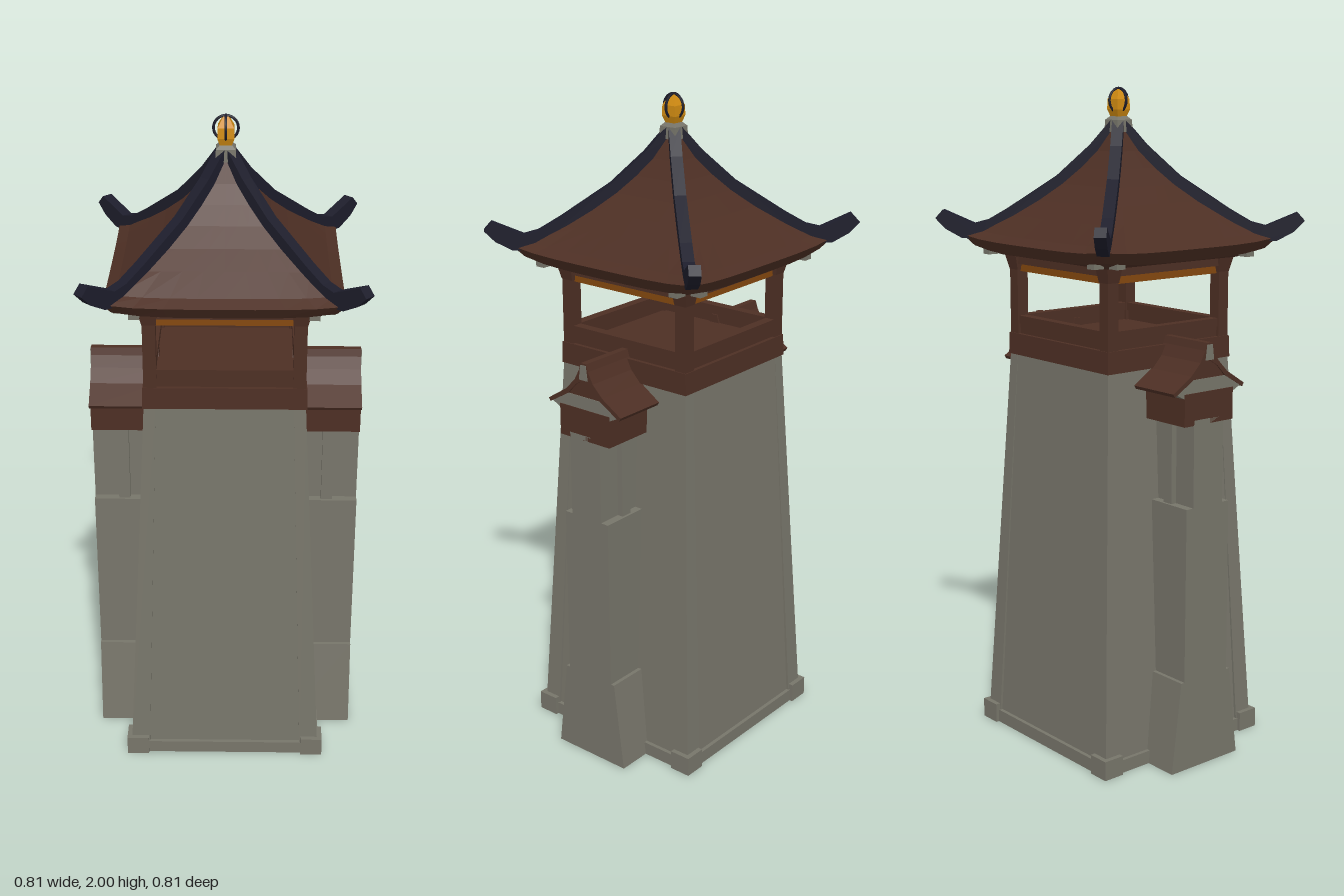
import * as THREE from 'three';

const mat = (name, color, side = THREE.FrontSide) => {
  const m = new THREE.MeshStandardMaterial({ color, side });
  m.name = name;
  return m;
};

// Stack of rectangles [y, x0, x1, z0, z1] joined into a closed solid
function loft(sections) {
  const pos = [];
  const rings = sections.map(([y, x0, x1, z0, z1]) => [[x0, y, z1], [x1, y, z1], [x1, y, z0], [x0, y, z0]]);
  const quad = (a, b, c, d) => pos.push(...a, ...b, ...c, ...a, ...c, ...d);
  for (let i = 0; i < rings.length - 1; i++) {
    for (let k = 0; k < 4; k++) {
      const n = (k + 1) % 4;
      quad(rings[i][k], rings[i][n], rings[i + 1][n], rings[i + 1][k]);
    }
  }
  const b = rings[0], t = rings[rings.length - 1];
  quad(b[3], b[2], b[1], b[0]);
  quad(t[0], t[1], t[2], t[3]);
  const g = new THREE.BufferGeometry();
  g.setAttribute('position', new THREE.Float32BufferAttribute(pos, 3));
  g.computeVertexNormals();
  return g;
}
const block = (x0, x1, y0, y1, z0, z1) => loft([[y0, x0, x1, z0, z1], [y1, x0, x1, z0, z1]]);
const square = (y, h) => [y, -h, h, -h, h];

// Profile in (z, y) extruded along x from x0 to x1
function prismX(points, x0, x1) {
  const shape = new THREE.Shape(points.map(([z, y]) => new THREE.Vector2(-z, y)));
  const g = new THREE.ExtrudeGeometry(shape, { depth: x1 - x0, bevelEnabled: false });
  return g.rotateY(Math.PI / 2).translate(x0, 0, 0);
}

// Square roof surface; rows are [half width, y, corner lift]
function roofSurface(rows) {
  const pos = [], seg = 8;
  const point = ([h, y, lift], side, t) => {
    const v = new THREE.Vector3(h * t, y + lift * Math.abs(t) ** 4, h);
    return v.applyAxisAngle(new THREE.Vector3(0, 1, 0), side * Math.PI / 2).toArray();
  };
  for (let r = 0; r < rows.length - 1; r++) {
    for (let side = 0; side < 4; side++) {
      for (let s = 0; s < seg; s++) {
        const t0 = s / seg * 2 - 1, t1 = (s + 1) / seg * 2 - 1;
        const a = point(rows[r], side, t0), b = point(rows[r], side, t1);
        const c = point(rows[r + 1], side, t1), d = point(rows[r + 1], side, t0);
        pos.push(...a, ...b, ...c, ...a, ...c, ...d);
      }
    }
  }
  const g = new THREE.BufferGeometry();
  g.setAttribute('position', new THREE.Float32BufferAttribute(pos, 3));
  g.computeVertexNormals();
  return g;
}

export function createModel() {
  const model = new THREE.Group();
  model.name = 'watchtower';
  const stone = mat('stone', 0x77756a);
  const wood = mat('brown wood', 0x4d2f24);
  const tile = mat('brown roof', 0x4d2f24, THREE.DoubleSide);
  const navy = mat('dark ridge', 0x1d1d2b);
  const gold = mat('gold', 0xd28c12);
  const amber = mat('amber trim', 0x84480f);

  const add = (name, geometry, material, parent = model) => {
    const mesh = new THREE.Mesh(geometry, material);
    mesh.name = name;
    parent.add(mesh);
    return mesh;
  };

  // Tapered stone shaft and its sill
  add('towerWall', loft([square(0, 0.29), square(1.2, 0.234)]), stone);
  add('baseSill', loft([square(0, 0.3), square(0.04, 0.3)]), stone);

  // Corner piers, feet and gallery posts
  for (let i = 0; i < 4; i++) {
    const corner = new THREE.Group();
    corner.name = 'corner' + (i + 1);
    corner.rotation.y = i * Math.PI / 2;
    add('pier', loft([[0, 0.24, 0.298, 0.24, 0.298], [1.2, 0.2, 0.235, 0.2, 0.235]]), stone, corner);
    add('foot', block(0.242, 0.31, 0, 0.06, 0.242, 0.31), stone, corner);
    add('post', block(0.196, 0.234, 1.26, 1.5, 0.196, 0.234), wood, corner);
    add('postCapital', loft([[1.46, 0.194, 0.235, 0.194, 0.235], [1.505, 0.19, 0.245, 0.19, 0.245]]), wood, corner);

    // Gallery side: parapet, rail, lintel and inner trim
    add('parapet', block(-0.2, 0.2, 1.26, 1.3, 0.205, 0.225), wood, corner);
    add('rail', block(-0.2, 0.2, 1.295, 1.32, 0.2, 0.23), wood, corner);
    add('lintel', block(-0.2, 0.2, 1.478, 1.51, 0.2, 0.234), wood, corner);
    add('lintelTrim', block(-0.2, 0.2, 1.455, 1.48, 0.205, 0.222), amber, corner);

    // Stone rafter ends under the eave corner
    add('rafterEndLeft', block(0.275, 0.31, 1.508, 1.535, 0.235, 0.265), stone, corner);
    add('rafterEndRight', block(0.235, 0.265, 1.508, 1.535, 0.275, 0.31), stone, corner);

    // Curved hip ridge ending in an upturned horn
    const outline = [
      [0, 1.88], [0.05, 1.8], [0.12, 1.7], [0.22, 1.61], [0.29, 1.55], [0.335, 1.553],
      [0.37, 1.58], [0.392, 1.612], [0.376, 1.637], [0.31, 1.597], [0.28, 1.608],
      [0.235, 1.645], [0.13, 1.742], [0.06, 1.832], [0.015, 1.905],
    ].map(([h, y]) => new THREE.Vector2(h * Math.SQRT2, y));
    const ridge = new THREE.ExtrudeGeometry(new THREE.Shape(outline), { depth: 0.034, bevelEnabled: false });
    ridge.translate(0, 0, -0.017).rotateY(Math.PI / 4);
    add('hipRidge', ridge, navy, corner);
    model.add(corner);
  }

  // Gallery floor
  add('galleryFloor', loft([square(1.2, 0.239), square(1.265, 0.237)]), wood);

  // Sweeping roof with eave edge and soffit
  add('roof', roofSurface([
    [0.2, 1.5, 0], [0.25, 1.503, 0], [0.31, 1.515, 0.015], [0.335, 1.55, 0.012], [0.3, 1.568, 0.008],
    [0.235, 1.622, 0], [0.18, 1.668, 0], [0.13, 1.717, 0], [0.09, 1.765, 0], [0.055, 1.815, 0], [0.018, 1.89, 0],
  ]), tile);

  // Finial: stone collar, gold bud, crossed rings
  add('finialCollar', loft([square(1.87, 0.03), square(1.905, 0.028), square(1.915, 0.018)]), stone);
  add('finialBud', loft([square(1.9, 0.012), square(1.935, 0.024), square(1.965, 0.023), square(1.994, 0.008)]), gold);
  for (let i = 0; i < 2; i++) {
    const ring = add('finialRing' + (i + 1), new THREE.TorusGeometry(0.035, 0.004, 6, 24), navy);
    ring.position.y = 1.961;
    ring.rotation.y = i * Math.PI / 2;
  }

  // Side buttresses, each with a small gabled roof
  for (let i = 0; i < 2; i++) {
    const wing = new THREE.Group();
    wing.name = i ? 'rightButtress' : 'leftButtress';
    wing.rotation.y = i * Math.PI;
    const x0 = 0.2, x1 = 0.405;
    add('buttressBase', loft([[0, x0, x1, -0.132, 0.132], [0.28, x0, x1, -0.097, 0.097]]), stone, wing);
    add('buttressShaft', loft([[0.28, x0, x1, -0.085, 0.085], [0.81, x0, x1, -0.083, 0.083]]), stone, wing);
    add('buttressNeck', block(x0, x1, 0.81, 1.07, -0.057, 0.057), stone, wing);
    add('neckPilaster', block(0.295, 0.33, 0.81, 1.07, -0.075, 0.075), stone, wing);
    add('buttressBox', block(x0, x1, 1.055, 1.15, -0.094, 0.094), wood, wing);
    add('gableSlab', prismX([[-0.09, 1.135], [0.09, 1.135], [0.13, 1.155], [0.065, 1.188], [-0.065, 1.188], [-0.13, 1.155]], x0, x1 - 0.002), stone, wing);
    add('gableWall', prismX([[-0.062, 1.185], [0.062, 1.185], [0.018, 1.245], [-0.018, 1.245]], x0, x1 - 0.004), wood, wing);
    const top = [[0.138, 1.157], [0.07, 1.2], [0.035, 1.235], [0.017, 1.268], [0.01, 1.29]];
    const under = [[0, 1.24], [0.03, 1.222], [0.062, 1.188], [0.132, 1.147]];
    const flip = ([z, y]) => [-z, y];
    add('smallRoof', prismX([
      ...top, ...top.map(flip).reverse(), ...under.map(flip).reverse(), ...under.slice(1),
    ], x0, x1), tile, wing);
    add('smallRidgeEnd', prismX([[-0.016, 1.24], [0.016, 1.24], [0.01, 1.285], [-0.01, 1.285]], x1 - 0.004, x1 + 0.002), stone, wing);
    model.add(wing);
  }
  return model;
}
